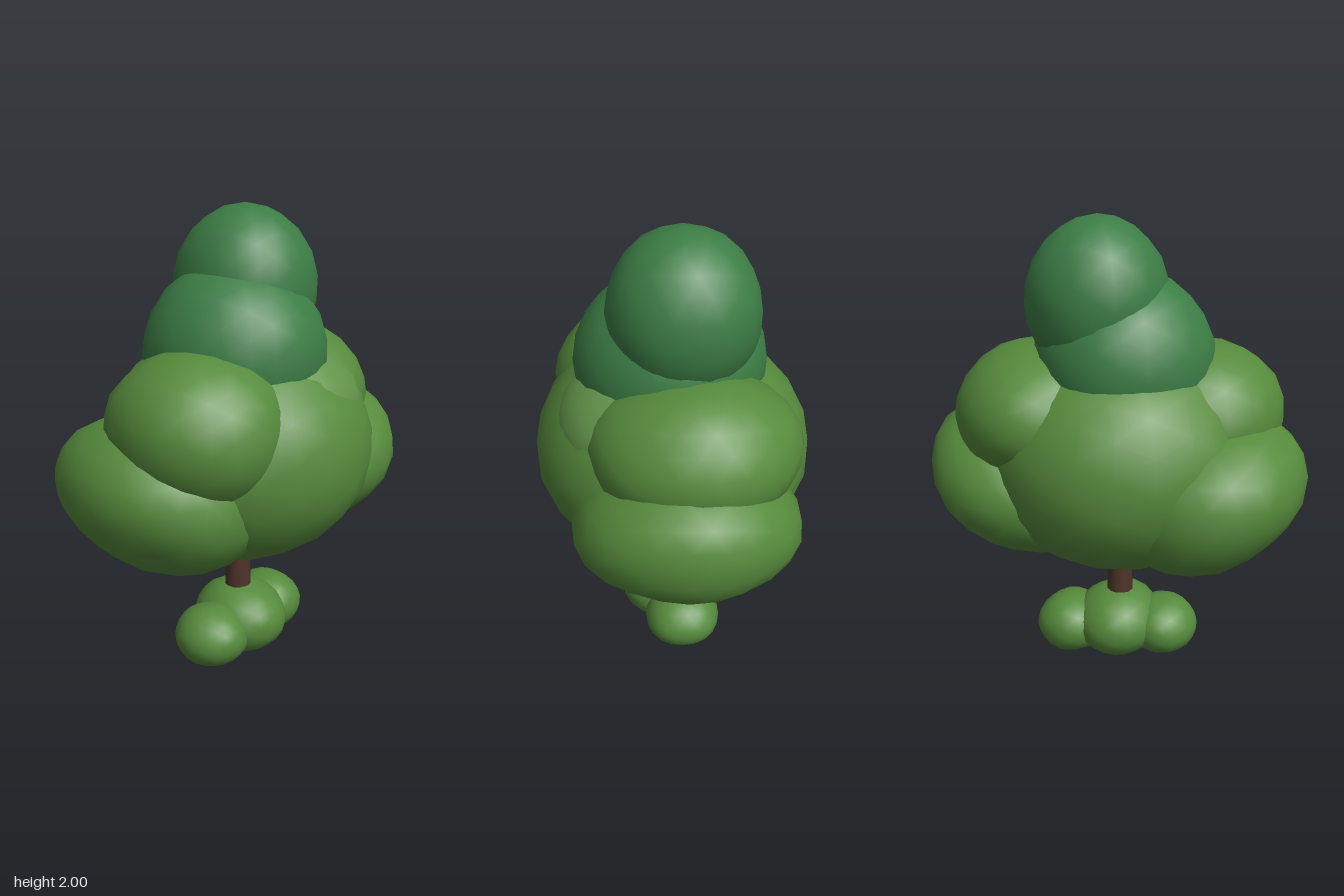
import * as THREE from 'three';
import { mergeVertices } from 'three/addons/utils/BufferGeometryUtils.js';

const paint = (color) => new THREE.MeshStandardMaterial({ color });
const leaf = paint(0x568a3c);
const paleLeaf = paint(0x62934a);
const darkLeaf = paint(0x3c7d45);
const bark = paint(0x4e3428);

// Smooth, slightly lumpy ellipsoid, tilted sideways; a fixed wave per seed makes the lumps
function blob(name, [x, y, z], [rx, ry, rz], material, seed, tilt = 0, lump = 0.015) {
  let geo = new THREE.IcosahedronGeometry(1, 3);
  geo.deleteAttribute('uv');
  geo.deleteAttribute('normal');
  geo = mergeVertices(geo, 1e-3);
  const pos = geo.attributes.position;
  const v = new THREE.Vector3();
  for (let i = 0; i < pos.count; i++) {
    v.fromBufferAttribute(pos, i);
    const wave = Math.sin(v.x * 5 + seed) * Math.sin(v.y * 4 + seed * 2) + 0.6 * Math.sin(v.z * 6 + seed * 3);
    v.multiplyScalar(1 + lump * wave);
    pos.setXYZ(i, v.x * rx, v.y * ry, v.z * rz);
  }
  geo.computeVertexNormals();
  const mesh = new THREE.Mesh(geo, material);
  mesh.name = name;
  mesh.position.set(x, y, z);
  mesh.rotation.z = tilt;
  return mesh;
}

export function createModel() {
  const tree = new THREE.Group();
  tree.name = 'tree';

  // Trunk from the ground into the crown
  const trunk = new THREE.Mesh(new THREE.CylinderGeometry(0.05, 0.068, 0.62, 12), bark);
  trunk.name = 'trunk';
  trunk.position.set(-0.003, 0.33, 0.01);
  tree.add(trunk);

  // Crown: broad body, two lobes on each side, two darker tiers on top
  const crown = new THREE.Group();
  crown.name = 'crown';
  crown.add(
    blob('crownBody', [0, 1.0, 0], [0.585, 0.5, 0.585], leaf, 1, 0, 0.006),
    blob('crownFrontPatch', [0.09, 1.18, 0.13], [0.38, 0.28, 0.36], paleLeaf, 2, 0, 0.01),
    blob('lowerLeftLobe', [0.41, 0.88, -0.05], [0.425, 0.31, 0.465], leaf, 3, 0.42),
    blob('lowerRightLobe', [-0.4, 0.865, -0.01], [0.43, 0.32, 0.47], leaf, 4, -0.4),
    blob('upperLeftLobe', [0.3, 1.19, -0.08], [0.375, 0.305, 0.43], leaf, 5),
    blob('upperRightLobe', [-0.325, 1.155, 0.14], [0.36, 0.325, 0.385], leaf, 6),
    blob('middleTier', [-0.02, 1.4, 0.01], [0.385, 0.385, 0.395], darkLeaf, 7, 0, 0.01),
    blob('topTier', [0.078, 1.655, -0.04], [0.297, 0.345, 0.31], darkLeaf, 8, 0, 0.01),
  );
  tree.add(crown);

  // Low bushes around the foot of the trunk
  const bushes = new THREE.Group();
  bushes.name = 'bushes';
  bushes.add(
    blob('middleBush', [0.005, 0.17, 0.015], [0.2, 0.164, 0.222], leaf, 9),
    blob('leftBush', [0.21, 0.15, -0.04], [0.16, 0.135, 0.172], leaf, 10),
    blob('rightBush', [-0.195, 0.15, 0.055], [0.16, 0.135, 0.17], leaf, 11),
  );
  tree.add(bushes);

  return tree;
}
